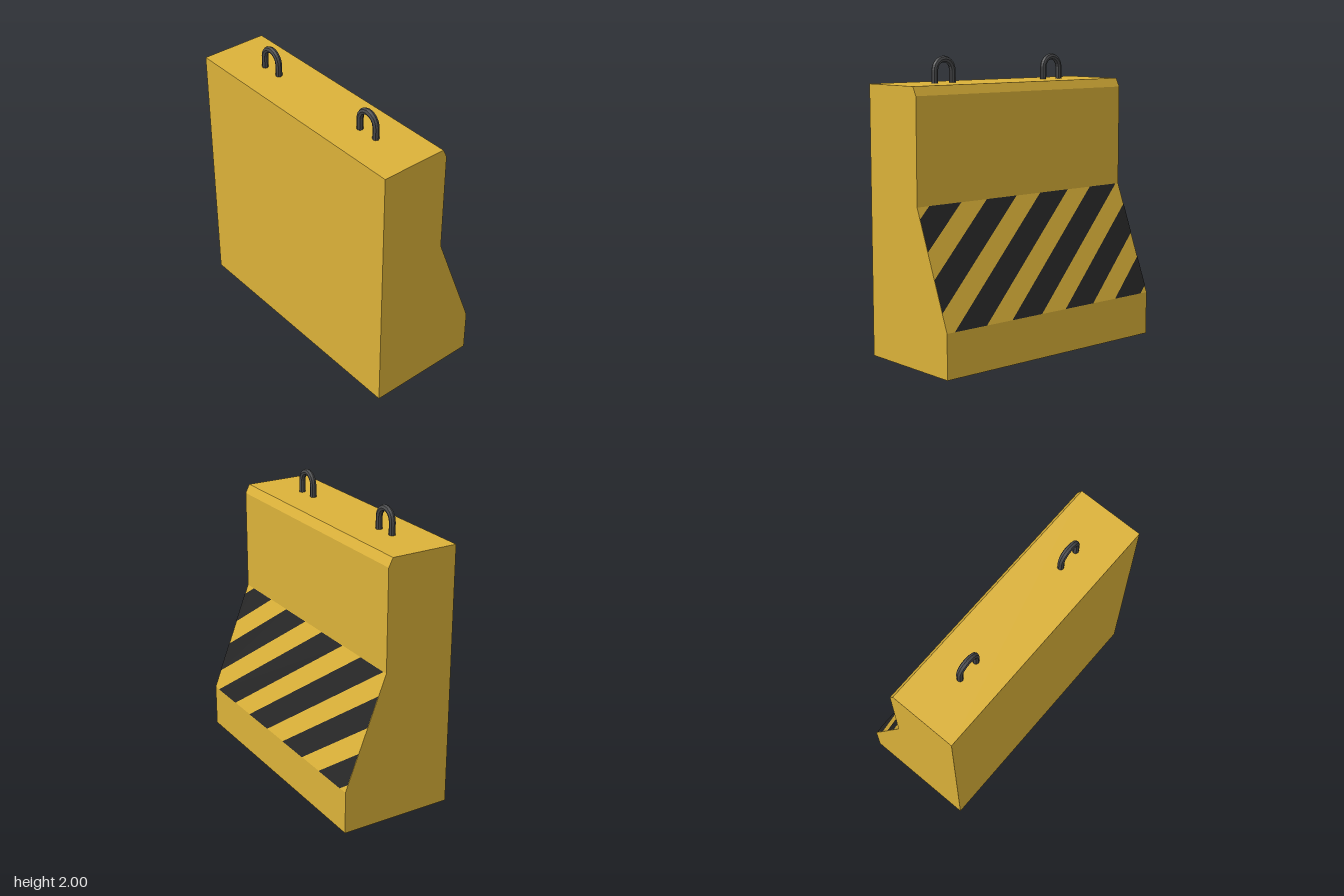
import * as THREE from 'three';
import { mergeGeometries } from 'three/addons/utils/BufferGeometryUtils.js';

const HALF = 0.91; // half the barrier's length along z
const FOOT = [0.395, 0.3], WAIST = [0.1, 1.06]; // ends of the sloped face
const PROFILE = [[0.395, 0], FOOT, WAIST, [0.1, 1.76], [0.07, 1.82], [-0.4, 1.82], [-0.4, 0]];

// Flat convex polygon as a triangle fan
function polygon(points) {
  const pos = [];
  for (let i = 1; i < points.length - 1; i++) pos.push(...points[0], ...points[i], ...points[i + 1]);
  const g = new THREE.BufferGeometry();
  g.setAttribute('position', new THREE.Float32BufferAttribute(pos, 3));
  g.computeVertexNormals();
  return g;
}

// Cut a polygon of [z, t] points to sign * z <= HALF
function clip(points, sign) {
  const out = [];
  points.forEach((a, i) => {
    const b = points[(i + 1) % points.length];
    const da = HALF - sign * a[0], db = HALF - sign * b[0];
    if (da >= 0) out.push(a);
    if (da * db < 0) {
      const k = da / (da - db);
      out.push([a[0] + (b[0] - a[0]) * k, a[1] + (b[1] - a[1]) * k]);
    }
  });
  return out;
}

// Hollow shell: long panels and two ends, open underneath
function shellGeometry() {
  const parts = [];
  for (let i = 0; i < PROFILE.length - 1; i++) {
    const a = PROFILE[i], b = PROFILE[i + 1];
    parts.push(polygon([[...a, HALF], [...a, -HALF], [...b, -HALF], [...b, HALF]]));
  }
  for (const side of [1, -1]) {
    const shape = new THREE.Shape(PROFILE.map(([x, y]) => new THREE.Vector2(x * side, y)));
    const end = new THREE.ShapeGeometry(shape).toNonIndexed();
    end.deleteAttribute('uv');
    end.translate(0, 0, HALF);
    if (side < 0) end.rotateY(Math.PI);
    parts.push(end);
  }
  return mergeGeometries(parts);
}

// Slanted warning stripes lying just above the sloped face
function stripesGeometry() {
  const lift = 0.003, width = 0.262, slant = 0.99, pitch = 0.478;
  const normal = new THREE.Vector2(WAIST[1] - FOOT[1], FOOT[0] - WAIST[0]).normalize();
  const parts = [];
  for (let k = -2; k < 4; k++) {
    const z = 0.85 - pitch * k;
    let p = [[z, 0], [z - width, 0], [z - width - slant, 1], [z - slant, 1]];
    p = clip(clip(p, 1), -1);
    if (p.length < 3) continue;
    parts.push(polygon(p.map(([pz, t]) => [
      FOOT[0] + (WAIST[0] - FOOT[0]) * t + normal.x * lift,
      FOOT[1] + (WAIST[1] - FOOT[1]) * t + normal.y * lift,
      pz,
    ])));
  }
  return mergeGeometries(parts);
}

// U-shaped lifting loop in the yz plane
function loopGeometry() {
  const r = 0.074, spring = 1.904;
  const path = new THREE.CurvePath();
  const v = (y, z) => new THREE.Vector3(0, y, z);
  const arc = [];
  for (let i = 0; i <= 8; i++) {
    const a = (i / 8) * Math.PI;
    arc.push(v(spring + r * Math.sin(a), r * Math.cos(a)));
  }
  const points = [v(1.81, r), ...arc, v(1.81, -r)];
  for (let i = 0; i < points.length - 1; i++) path.add(new THREE.LineCurve3(points[i], points[i + 1]));
  return new THREE.TubeGeometry(path, 40, 0.022, 8);
}

export function createModel() {
  const yellow = new THREE.MeshStandardMaterial({ color: 0xdcb239, side: THREE.DoubleSide });
  yellow.name = 'barrier yellow';
  const black = new THREE.MeshStandardMaterial({ color: 0x262626 });
  black.name = 'stripe black';
  const steel = new THREE.MeshStandardMaterial({ color: 0x48494b, flatShading: true });
  steel.name = 'dark steel';

  const model = new THREE.Group();
  model.name = 'roadBarrier';
  const add = (name, geometry, material) => {
    const mesh = new THREE.Mesh(geometry, material);
    mesh.name = name;
    model.add(mesh);
    return mesh;
  };

  add('barrierShell', shellGeometry(), yellow);
  add('warningStripes', stripesGeometry(), black);

  // Lifting loops on the top
  const loop = loopGeometry();
  add('frontLiftingLoop', loop, steel).position.set(-0.163, 0, 0.483);
  add('backLiftingLoop', loop, steel).position.set(-0.163, 0, -0.483);
  return model;
}
